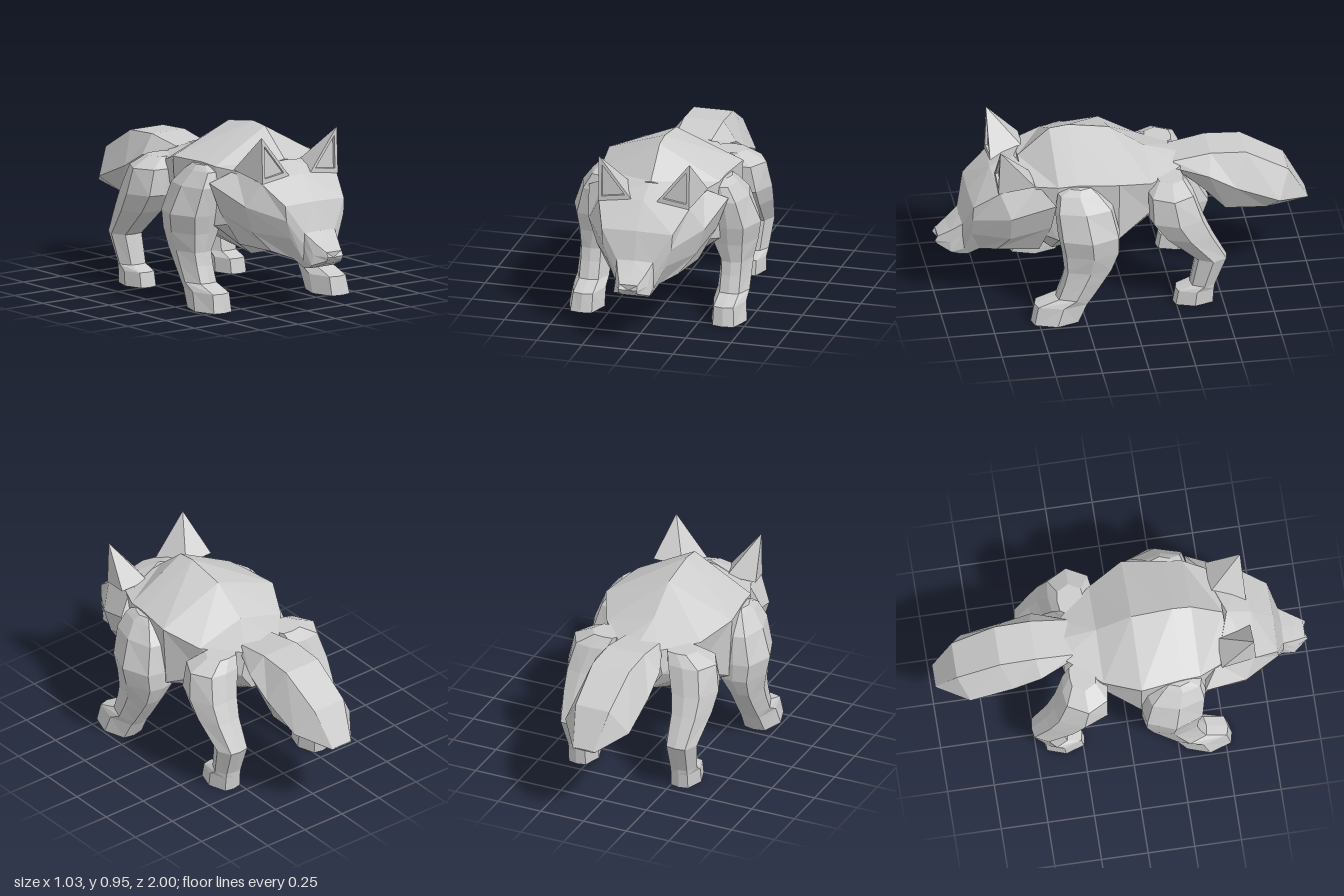
import * as THREE from 'three';

const fur = new THREE.MeshStandardMaterial({ color: 0xcccccc, flatShading: true });
fur.name = 'grey fur';

// Flat-faceted mesh from a list of triangles (each three [x, y, z] points)
function facetMesh(name, tris) {
  const geo = new THREE.BufferGeometry();
  geo.setAttribute('position', new THREE.Float32BufferAttribute(tris.flat(2), 3));
  geo.computeVertexNormals();
  const mesh = new THREE.Mesh(geo, fur);
  mesh.name = name;
  return mesh;
}

// Reverses the triangles if the closed surface is inside out
function outward(tris) {
  let volume = 0;
  for (const [a, b, c] of tris) {
    const [p, q, r] = [a, b, c].map((v) => new THREE.Vector3(...v));
    volume += p.dot(q.cross(r));
  }
  return volume < 0 ? tris.map(([a, b, c]) => [a, c, b]) : tris;
}

// Joins cross-section rings and closes both ends
function loft(name, rings) {
  const tris = [];
  const n = rings[0].length;
  for (let i = 0; i < rings.length - 1; i++) {
    for (let j = 0; j < n; j++) {
      const k = (j + 1) % n;
      const a = rings[i][j], b = rings[i][k], c = rings[i + 1][k], d = rings[i + 1][j];
      // mirror the diagonals so both sides fold alike
      if (j < n / 2) tris.push([a, b, c], [a, c, d]);
      else tris.push([a, b, d], [b, c, d]);
    }
  }
  const cap = (ring, flip) => {
    const mid = [0, 1, 2].map((i) => ring.reduce((s, p) => s + p[i], 0) / n);
    ring.forEach((p, j) => {
      const q = ring[(j + 1) % n];
      tris.push(flip ? [mid, q, p] : [mid, p, q]);
    });
  };
  cap(rings[0], true);
  cap(rings[rings.length - 1], false);
  return facetMesh(name, outward(tris));
}

// Completes a half section, from the top centre down, by mirroring in x
function mirrored(half) {
  const other = half.filter((p) => p[0] > 0).reverse().map(([x, y, z]) => [-x, y, z]);
  return [...half, ...other];
}

// Leg outline with an edge on each side and a nearly flat front and back
const legOutline = [[1, 0], [0.6, 0.9], [0, 1], [-0.6, 0.9], [-1, 0], [-0.6, -0.9], [0, -1], [0.6, -0.9]];

// Leg; sections are [y, centre x, half width, centre z, half depth]
function leg(name, side, sections) {
  return loft(name, sections.map(([y, cx, rx, cz, rz]) =>
    legOutline.map(([u, v]) => [side * (cx + u * rx), y, cz + v * rz])));
}

// Pointed ear with a sunken inner triangle
function ear(name, side) {
  const tip = [0.25, 0.955, 0.68], inner = [0.07, 0.73, 0.685], outer = [0.25, 0.705, 0.69];
  const backOut = [0.3, 0.76, 0.5], backIn = [0.13, 0.76, 0.5];
  const front = [tip, inner, outer];
  const mid = [0, 1, 2].map((i) => front.reduce((s, p) => s + p[i], 0) / 3);
  const inset = front.map((p) => p.map((v, i) => mid[i] + (v - mid[i]) * 0.7));
  const sunk = inset.map(([x, y, z]) => [x, y, z - 0.015]);
  const tris = [
    [tip, outer, backOut], [tip, backOut, backIn], [tip, backIn, inner],
    [inner, backIn, outer], [outer, backIn, backOut], sunk,
  ];
  const strip = (from, to) => {
    for (let i = 0; i < 3; i++) {
      const k = (i + 1) % 3;
      tris.push([from[i], from[k], to[k]], [from[i], to[k], to[i]]);
    }
  };
  strip(front, inset);
  strip(inset, sunk);
  return facetMesh(name, outward(tris.map((t) => t.map(([x, y, z]) => [side * x, y, z]))));
}

export function createModel() {
  const model = new THREE.Group();
  model.name = 'canine';

  // Body with a ridged back: [z, ridge y, shoulder x, y, flank x, y, belly x, y]
  const body = [
    [0.55, 0.79, 0.25, 0.74, 0.23, 0.48, 0.08, 0.4],
    [0.38, 0.94, 0.33, 0.76, 0.33, 0.44, 0.09, 0.26],
    [0.28, 0.953, 0.34, 0.77, 0.345, 0.43, 0.09, 0.275],
    [0.06, 0.92, 0.37, 0.77, 0.35, 0.43, 0.1, 0.31],
    [-0.13, 0.79, 0.275, 0.71, 0.24, 0.52, 0.09, 0.4],
    [-0.32, 0.735, 0.11, 0.715, 0.14, 0.58, 0.07, 0.48],
  ];
  model.add(loft('body', body.map(([z, top, sx, sy, fx, fy, bx, by]) =>
    mirrored([[0, top, z], [sx, sy, z], [fx, fy, z], [bx, by, z]]))));

  // Head: half sections from the crown centre to the jaw
  const head = [
    [[0, 0.79, 0.57], [0.27, 0.75, 0.48], [0.385, 0.68, 0.4], [0.33, 0.52, 0.42], [0.24, 0.345, 0.47]],
    [[0, 0.735, 0.7], [0.25, 0.705, 0.68], [0.32, 0.58, 0.63], [0.275, 0.44, 0.63], [0.19, 0.335, 0.69]],
    [[0, 0.605, 0.82], [0.195, 0.6, 0.815], [0.19, 0.52, 0.82], [0.16, 0.42, 0.82], [0.11, 0.3, 0.77]],
    [[0, 0.455, 0.865], [0.1, 0.45, 0.86], [0.104, 0.38, 0.86], [0.1, 0.3, 0.85], [0.08, 0.255, 0.83]],
    [[0, 0.4, 0.93], [0.075, 0.4, 0.925], [0.09, 0.34, 0.925], [0.1, 0.285, 0.92], [0.08, 0.262, 0.88]],
    [[0, 0.36, 0.985], [0.05, 0.36, 0.985], [0.05, 0.335, 1], [0.05, 0.315, 0.99], [0.04, 0.29, 0.95]],
  ];
  model.add(loft('head', head.map(mirrored)));

  // Bushy tail: half sections of top, side and underside points
  const tail = [
    [[0.1, 0.735, -0.27], [0.12, 0.7, -0.28], [0.08, 0.66, -0.3]],
    [[0.108, 0.77, -0.47], [0.187, 0.67, -0.45], [0.11, 0.57, -0.42]],
    [[0.108, 0.76, -0.66], [0.19, 0.585, -0.6], [0.11, 0.43, -0.55]],
    [[0.098, 0.63, -0.89], [0.187, 0.49, -0.83], [0.09, 0.405, -0.77]],
    [[0.06, 0.435, -1], [0.063, 0.43, -1], [0.06, 0.425, -0.995]],
  ];
  model.add(loft('tail', tail.map(mirrored)));

  // Legs and ears on both sides
  const foreleg = [
    [0.76, 0.325, 0.045, 0.265, 0.06],
    [0.73, 0.335, 0.065, 0.275, 0.11],
    [0.65, 0.36, 0.1, 0.25, 0.155],
    [0.5, 0.375, 0.14, 0.225, 0.165],
    [0.4, 0.37, 0.128, 0.215, 0.155],
    [0.3, 0.387, 0.09, 0.23, 0.13],
    [0.23, 0.387, 0.088, 0.26, 0.115],
    [0.14, 0.387, 0.088, 0.305, 0.1],
    [0.1, 0.387, 0.09, 0.375, 0.145],
    [0, 0.392, 0.098, 0.41, 0.13],
  ];
  const hindLeg = [
    [0.715, 0.215, 0.09, -0.235, 0.07],
    [0.66, 0.27, 0.145, -0.23, 0.12],
    [0.52, 0.305, 0.135, -0.255, 0.145],
    [0.42, 0.315, 0.115, -0.315, 0.13],
    [0.27, 0.31, 0.09, -0.44, 0.083],
    [0.11, 0.3, 0.08, -0.395, 0.067],
    [0.08, 0.3, 0.08, -0.355, 0.105],
    [0, 0.3, 0.082, -0.345, 0.11],
  ];
  for (const [word, side] of [['left', 1], ['right', -1]]) {
    model.add(leg(word + 'Foreleg', side, foreleg));
    model.add(leg(word + 'HindLeg', side, hindLeg));
    model.add(ear(word + 'Ear', side));
  }
  return model;
}
